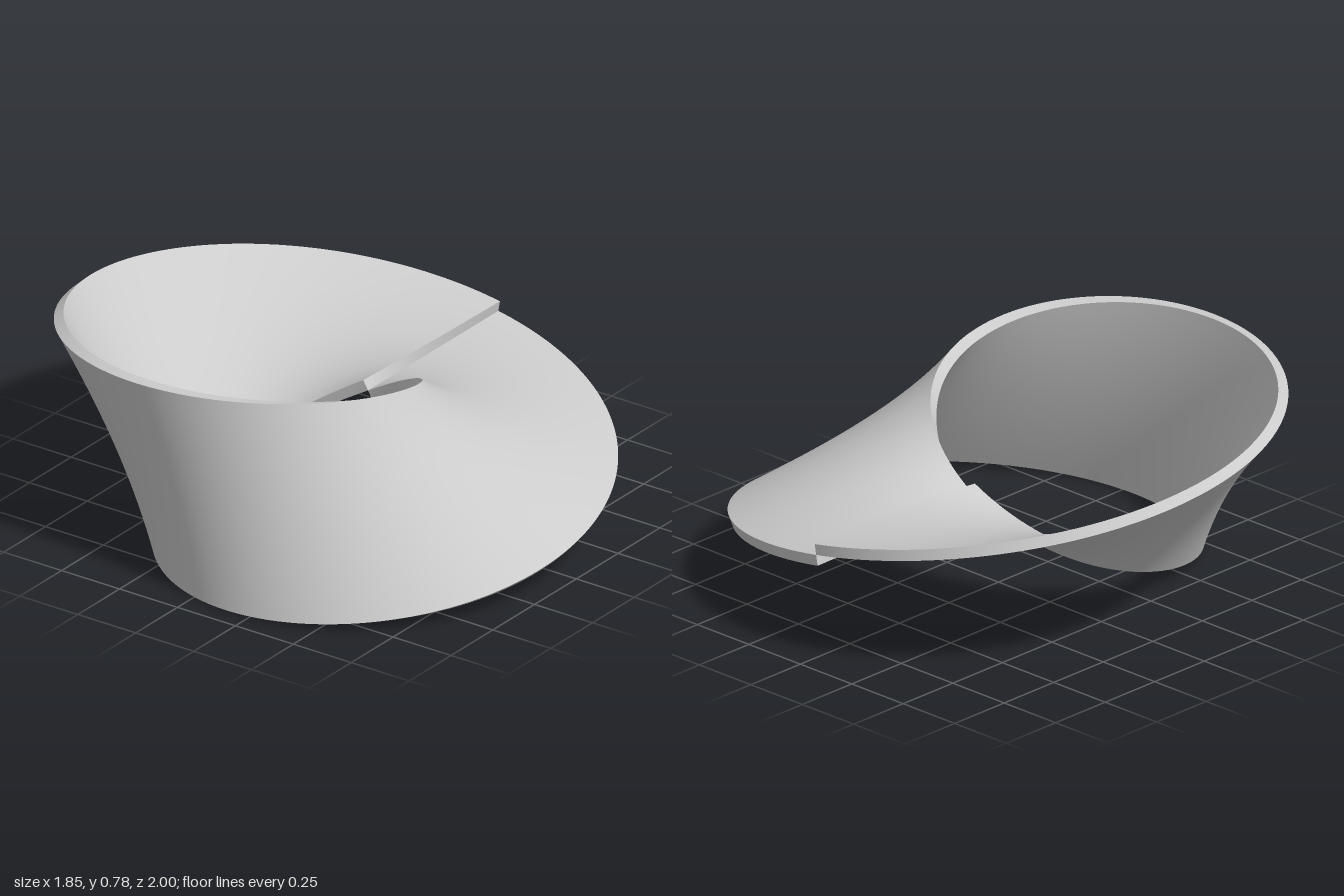
import * as THREE from 'three';

const RADIUS = 0.716, HALF = 0.39, THICK = 0.04;
const CENTER = new THREE.Vector3(-0.186, 0.393, 0);
const TURN = Math.PI * 2;

// Point on the half-twisted band: u runs round the ring, v across the width
function band(u, v) {
  const r = RADIUS + v * Math.cos(u / 2);
  return new THREE.Vector3(r * Math.cos(u), -v * Math.sin(u / 2), r * Math.sin(u));
}

// Same point sunk by depth along the true surface normal
function solid(u, v, depth) {
  const e = 1e-4;
  const du = band(u + e, v).sub(band(u - e, v));
  const dv = band(u, v + e).sub(band(u, v - e));
  const n = du.cross(dv).normalize();
  return band(u, v).addScaledVector(n, -depth).add(CENTER);
}

// Smooth grid over a, b in 0..1, facing da x db
function sheet(f, na, nb) {
  const pos = [], index = [];
  for (let i = 0; i <= na; i++) {
    for (let j = 0; j <= nb; j++) {
      pos.push(...f(i / na, j / nb).toArray());
      if (i < na && j < nb) {
        const a = i * (nb + 1) + j, b = a + nb + 1;
        index.push(a, b, b + 1, a, b + 1, a + 1);
      }
    }
  }
  const g = new THREE.BufferGeometry();
  g.setAttribute('position', new THREE.Float32BufferAttribute(pos, 3));
  g.setIndex(index);
  g.computeVertexNormals();
  return g;
}

export function createModel() {
  const group = new THREE.Group();
  group.name = 'twistedBand';
  const material = new THREE.MeshStandardMaterial({ color: 0xcccccc });
  const across = (t) => (2 * t - 1) * HALF;
  const add = (name, f, na, nb) => {
    const mesh = new THREE.Mesh(sheet(f, na, nb), material);
    mesh.name = name;
    group.add(mesh);
  };

  // Two broad faces
  add('outerFace', (a, b) => solid(a * TURN, across(b), 0), 240, 24);
  add('innerFace', (a, b) => solid(a * TURN, across(1 - b), THICK), 240, 24);

  // Narrow rims along both long edges
  add('firstRim', (a, b) => solid(a * TURN, HALF, b * THICK), 240, 1);
  add('secondRim', (a, b) => solid(a * TURN, -HALF, (1 - b) * THICK), 240, 1);

  // End caps, which form the step where the band meets itself
  add('startCap', (a, b) => solid(0, across(a), b * THICK), 24, 1);
  add('endCap', (a, b) => solid(TURN, across(a), (1 - b) * THICK), 24, 1);

  return group;
}
